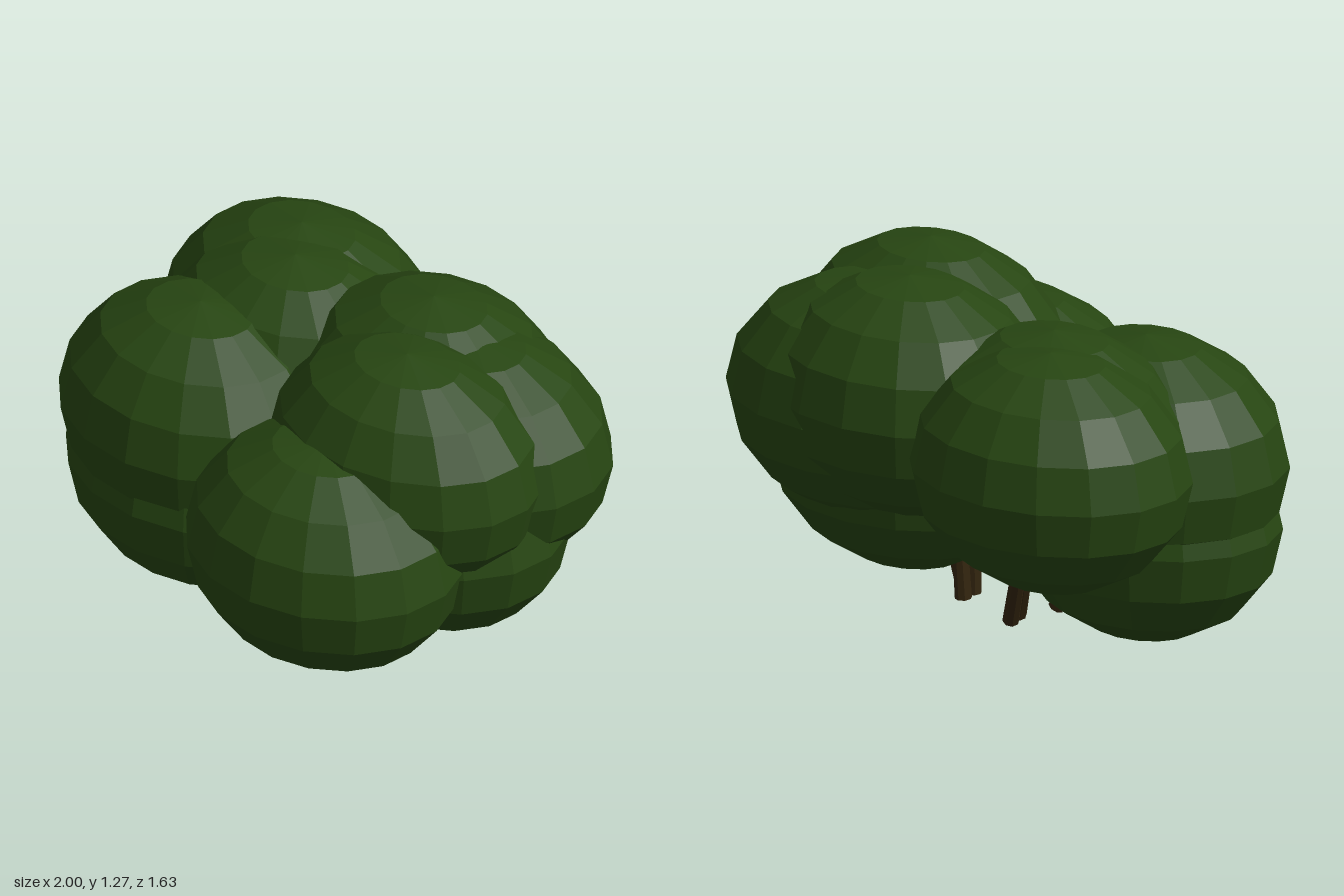
import * as THREE from 'three';

export function createModel() {
  const leafGreen = new THREE.MeshStandardMaterial({ color: 0x274612 });
  const barkBrown = new THREE.MeshStandardMaterial({ color: 0x34260f });
  leafGreen.name = 'leafGreen';
  barkBrown.name = 'barkBrown';
  leafGreen.flatShading = barkBrown.flatShading = true;

  const bush = new THREE.Group();
  bush.name = 'bush';

  // Foliage clumps: faceted ellipsoids, [centre], [radii]
  const clumps = [
    ['frontClump', [0.285, 0.585, 0.38], [0.515, 0.435, 0.435]],
    ['upperLeftClump', [-0.475, 0.67, 0.09], [0.525, 0.44, 0.43]],
    ['lowerLeftClump', [-0.46, 0.44, 0.09], [0.515, 0.435, 0.41]],
    ['backLeftClump', [-0.41, 0.76, -0.4], [0.52, 0.43, 0.42]],
    ['innerLeftClump', [-0.31, 0.76, -0.23], [0.52, 0.435, 0.42]],
    ['backTopClump', [0.28, 0.84, -0.24], [0.52, 0.43, 0.42]],
    ['frontTopClump', [0.415, 0.84, 0.09], [0.52, 0.435, 0.395]],
    ['rightClump', [0.475, 0.78, -0.2], [0.525, 0.43, 0.42]],
    ['lowerRightClump', [0.41, 0.56, -0.05], [0.52, 0.435, 0.42]],
  ];
  const clumpGeometry = new THREE.SphereGeometry(1, 16, 8);
  for (const [name, centre, radii] of clumps) {
    const clump = new THREE.Mesh(clumpGeometry, leafGreen);
    clump.name = name;
    clump.position.set(...centre);
    clump.scale.set(...radii);
    bush.add(clump);
  }

  // Stems: thin cylinders fanning out from the ground, [foot], [tip]
  const stems = [
    [[0.28, 0.025, 0.23], [0.42, 0.5, 0.42]],
    [[0.28, 0.025, 0.09], [0.42, 0.5, 0.09]],
    [[0.2, 0.025, 0.03], [0.2, 0.5, 0.03]],
    [[0.2, 0.025, -0.03], [0.22, 0.5, -0.05]],
    [[-0.04, 0.025, -0.05], [-0.24, 0.5, -0.25]],
    [[-0.05, 0.025, -0.11], [-0.25, 0.5, -0.31]],
    [[-0.11, 0.025, 0.08], [-0.36, 0.42, 0.08]],
  ];
  const up = new THREE.Vector3(0, 1, 0);
  stems.forEach(([foot, tip], i) => {
    const start = new THREE.Vector3(...foot);
    const span = new THREE.Vector3(...tip).sub(start);
    const length = span.length();
    const stem = new THREE.Mesh(new THREE.CylinderGeometry(0.024, 0.03, length, 8), barkBrown);
    stem.name = `stem${i + 1}`;
    stem.position.copy(start).addScaledVector(span, 0.5);
    stem.quaternion.setFromUnitVectors(up, span.normalize());
    bush.add(stem);
  });

  return bush;
}
